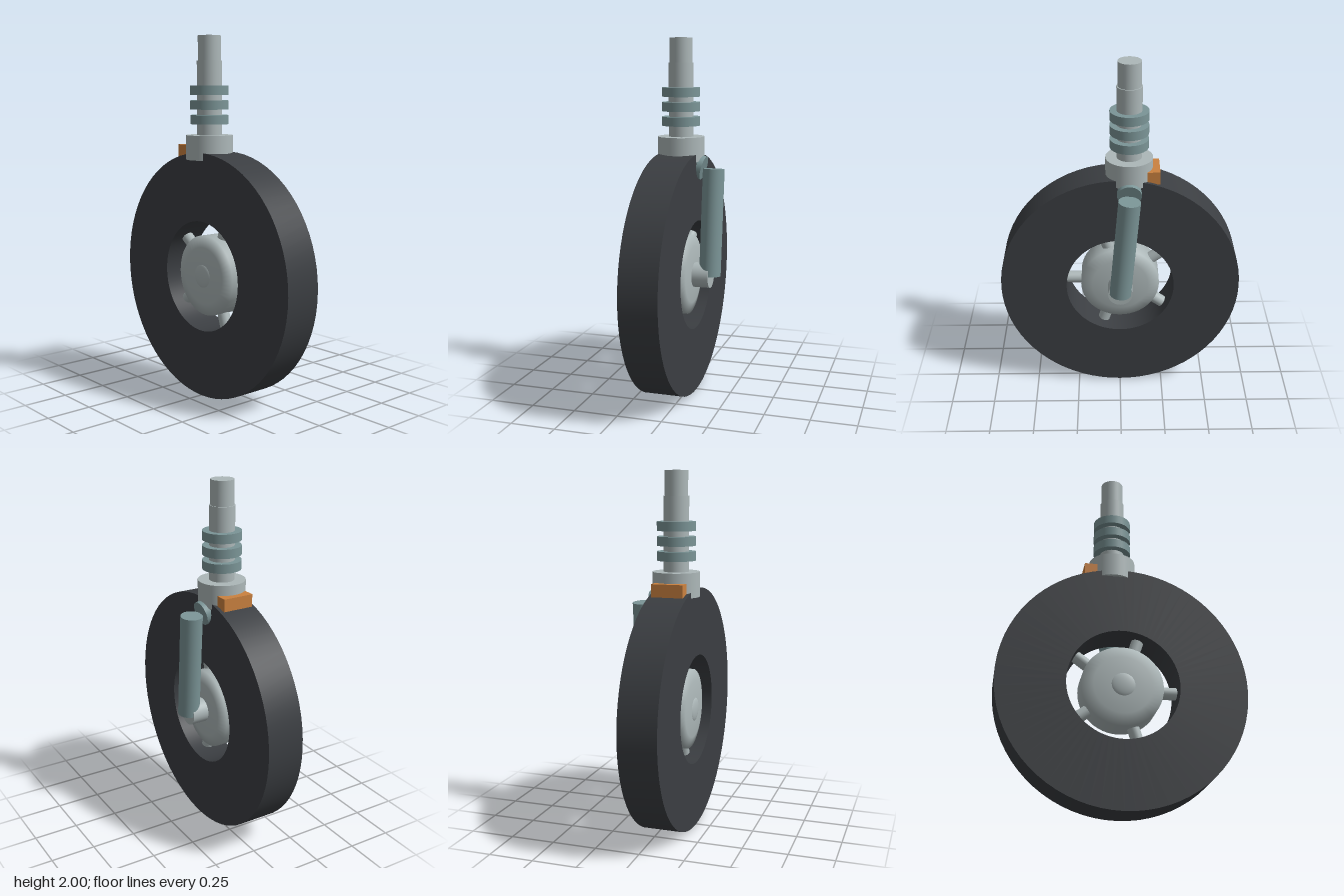
import * as THREE from 'three';
import { toCreasedNormals } from 'three/addons/utils/BufferGeometryUtils.js';

const WHEEL = new THREE.Vector3(0, 0.683, 0.06);
const STRUT_X = -0.05, STRUT_Z = 0.06;

function material(name, color) {
  const m = new THREE.MeshStandardMaterial({ color });
  m.name = name;
  return m;
}

export function createModel() {
  const model = new THREE.Group();
  model.name = 'landingWheel';
  const rubber = material('dark rubber', 0x3b3e42);
  const metal = material('pale metal', 0xadb8b9);
  const teal = material('grey teal', 0x7b9597);
  const orange = material('orange', 0xcb8240);

  function add(name, geometry, mat, parent = model) {
    const mesh = new THREE.Mesh(geometry, mat);
    mesh.name = name;
    parent.add(mesh);
    return mesh;
  }

  // Cylinder running between two points
  function rod(name, a, b, radius, mat, parent = model) {
    const from = new THREE.Vector3(...a), to = new THREE.Vector3(...b);
    const dir = to.clone().sub(from);
    const mesh = add(name, new THREE.CylinderGeometry(radius, radius, dir.length(), 32), mat, parent);
    mesh.position.copy(from).add(to).multiplyScalar(0.5);
    mesh.quaternion.setFromUnitVectors(new THREE.Vector3(0, 1, 0), dir.normalize());
    return mesh;
  }

  // Upright cylinder on the strut axis
  function strutPart(name, y0, y1, radius, mat) {
    return rod(name, [STRUT_X, y0, STRUT_Z], [STRUT_X, y1, STRUT_Z], radius, mat);
  }

  // Solid of revolution about z
  function turned(points, segments) {
    const profile = points.map(([r, z]) => new THREE.Vector2(r, z));
    return new THREE.LatheGeometry(profile, segments).rotateX(Math.PI / 2);
  }

  // Wheel
  const wheel = new THREE.Group();
  wheel.name = 'wheel';
  wheel.position.copy(WHEEL);
  model.add(wheel);

  const h = 0.107, outer = 0.683, inner = 0.308;
  const tyre = turned([[inner, -h], [outer, -h], [outer, h], [inner, h], [inner, -h]], 72);
  add('tyre', toCreasedNormals(tyre, 0.6), rubber, wheel);

  add('hub', turned([
    [0, -0.098], [0.07, -0.096], [0.16, -0.09], [0.225, -0.072],
    [0.225, 0.072], [0.16, 0.09], [0.07, 0.096], [0, 0.098],
  ], 48), metal, wheel);

  for (let i = 0; i < 5; i++) {
    const a = i * Math.PI * 2 / 5, c = Math.cos(a), s = Math.sin(a);
    rod('spoke', [c * 0.1, s * 0.1, 0], [c * 0.32, s * 0.32, 0], 0.034, metal, wheel);
  }

  // Axle with a shallow domed front end
  rod('axle', [0, 0, 0.09], [0, 0, -0.19], 0.07, metal, wheel);
  const cap = add('axleCap', new THREE.SphereGeometry(0.07, 32, 16), metal, wheel);
  cap.scale.z = 0.26;
  cap.position.z = 0.089;

  // Strut
  strutPart('collar', 1.325, 1.46, 0.13, metal);
  strutPart('lowerStrut', 1.46, 1.865, 0.069, metal);
  strutPart('upperStrut', 1.865, 2, 0.063, metal);
  for (const y of [1.52, 1.6, 1.68]) strutPart('strutRing', y, y + 0.05, 0.106, teal);

  // Side arm from the collar down to the axle
  rod('armLink', [STRUT_X, 1.32, STRUT_Z], [STRUT_X, 1.285, -0.072], 0.067, teal);
  rod('arm', [STRUT_X, 1.283, -0.13], [0, 0.683, -0.124], 0.061, teal);

  // Bracket beside the collar
  add('bracket', new THREE.BoxGeometry(0.07, 0.07, 0.175), orange).position.set(-0.182, 1.37, 0.06);

  return model;
}
